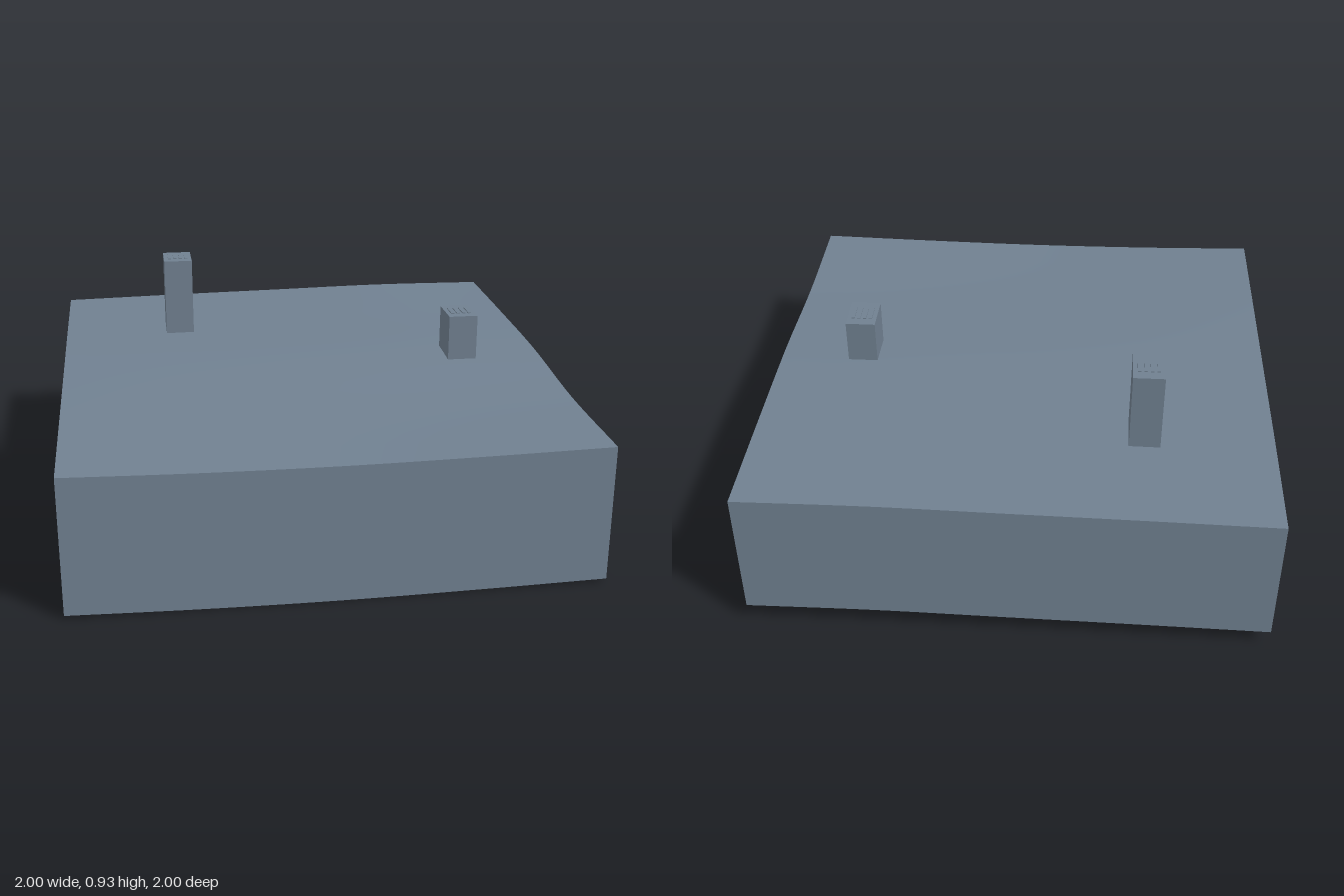
import * as THREE from 'three';

const DEPTH = 0.533; // height of the skirt walls
const SEG = 24;

// Heights of the ground: rows run from back (z=-1) to front (z=1), columns from x=-1 to x=1
const HEIGHTS = [
  [0.602, 0.610, 0.616, 0.622, 0.616],
  [0.595, 0.600, 0.604, 0.608, 0.607],
  [0.580, 0.585, 0.590, 0.593, 0.592],
  [0.565, 0.559, 0.554, 0.551, 0.553],
  [0.549, 0.537, 0.533, 0.538, 0.547],
];

// Smooth interpolation through evenly spaced values, t in 0..1
function smooth(values, t) {
  const f = t * (values.length - 1);
  const i = Math.min(Math.floor(f), values.length - 2);
  const u = f - i;
  const at = (k) => (k < 0 ? 2 * values[0] - values[1]
    : k >= values.length ? 2 * values[values.length - 1] - values[values.length - 2]
      : values[k]);
  const [a, b, c, d] = [at(i - 1), at(i), at(i + 1), at(i + 2)];
  return b + 0.5 * u * (c - a + u * (2 * a - 5 * b + 4 * c - d + u * (3 * (b - c) + d - a)));
}

function groundHeight(x, z) {
  return smooth(HEIGHTS.map((row) => smooth(row, (x + 1) / 2)), (z + 1) / 2);
}

export function createModel() {
  const group = new THREE.Group();
  const slate = new THREE.MeshStandardMaterial({ color: 0x708090, side: THREE.DoubleSide });
  slate.name = 'slate';

  const add = (geometry, name, parent = group) => {
    const mesh = new THREE.Mesh(geometry, slate);
    mesh.name = name;
    parent.add(mesh);
    return mesh;
  };

  // Rolling top surface
  const top = new THREE.PlaneGeometry(2, 2, SEG, SEG).rotateX(-Math.PI / 2);
  const p = top.attributes.position;
  for (let i = 0; i < p.count; i++) p.setY(i, groundHeight(p.getX(i), p.getZ(i)));
  top.computeVertexNormals();
  add(top, 'groundSurface');

  // Four skirt walls, open underneath, whose lower edge follows the top
  ['frontWall', 'leftWall', 'backWall', 'rightWall'].forEach((name, k) => {
    const wall = new THREE.PlaneGeometry(2, 1, SEG, 1).translate(0, 0, 1).rotateY(k * Math.PI / 2);
    const w = wall.attributes.position;
    for (let i = 0; i < w.count; i++) {
      const x = THREE.MathUtils.clamp(w.getX(i), -1, 1);
      const z = THREE.MathUtils.clamp(w.getZ(i), -1, 1);
      w.setY(i, groundHeight(x, z) - (w.getY(i) < 0 ? DEPTH : 0));
    }
    add(wall, name);
  });

  // Rectangular towers with thin slats on the roof
  const addTower = (name, x, z, bottom, height) => {
    const tower = new THREE.Group();
    tower.name = name;
    tower.position.set(x, bottom, z);
    group.add(tower);
    add(new THREE.BoxGeometry(0.12, height, 0.16).translate(0, height / 2, 0), 'towerBody', tower);
    for (let i = 0; i < 4; i++) {
      add(new THREE.BoxGeometry(0.013, 0.004, 0.08), 'roofSlat', tower)
        .position.set(-0.036 + i * 0.024, height + 0.002, 0);
    }
  };
  addTower('tallTower', -0.5, -0.5, 0.59, 0.335);
  addTower('shortTower', 0.66, 0, 0.585, 0.19);

  return group;
}
